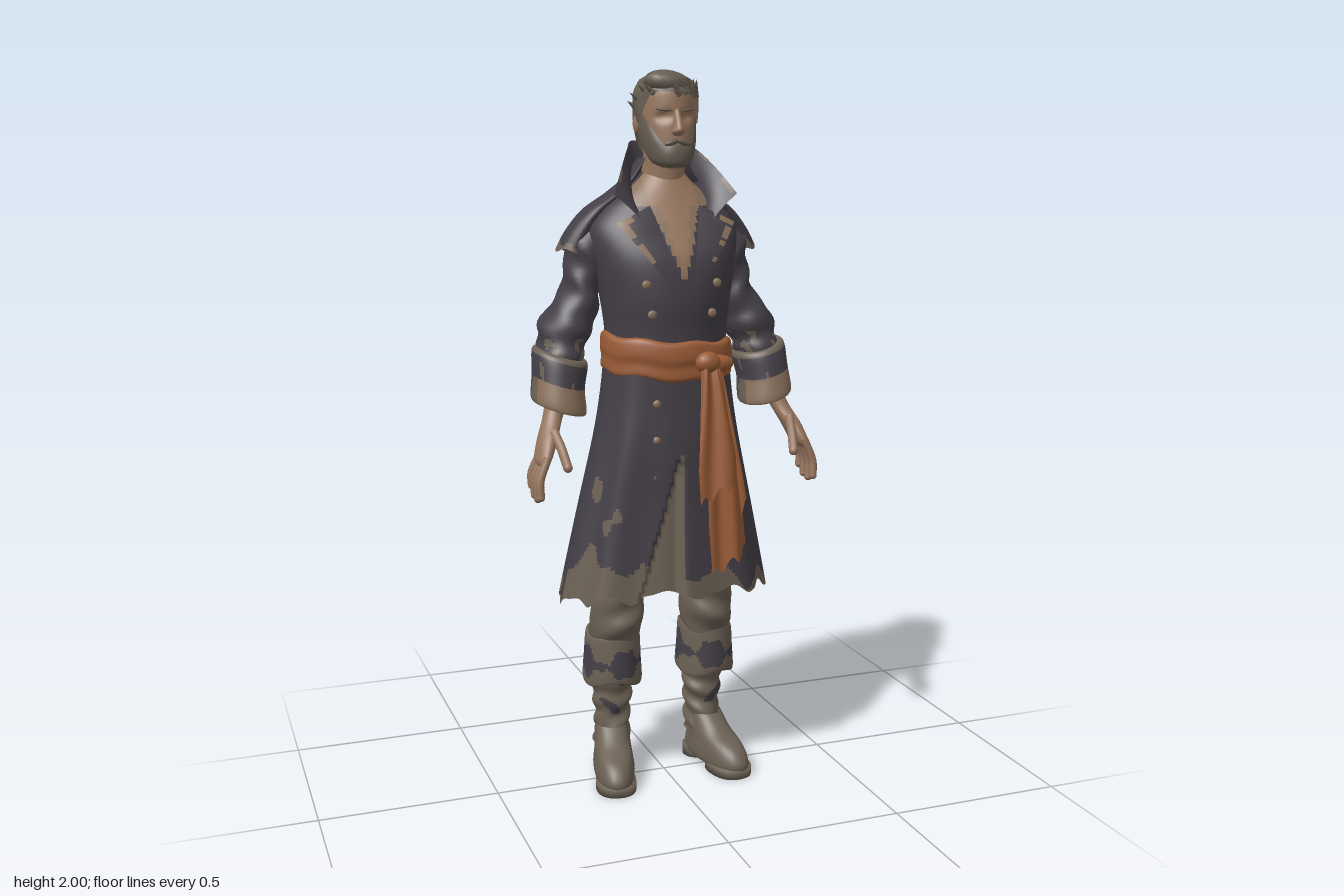
import * as THREE from 'three';

const { lerp, smoothstep } = THREE.MathUtils;
const mat = (name, color) => {
  const m = new THREE.MeshStandardMaterial({ color, side: THREE.DoubleSide });
  m.name = name;
  return m;
};

// Smooth blend of cross-section rows [x, y, z, radiusX, radiusZ]
function rowAt(rows, t) {
  const n = rows.length - 1, s = Math.min(t * n, n - 1e-6), i = Math.floor(s), k = s - i;
  const a = rows[Math.max(i - 1, 0)], b = rows[i], c = rows[i + 1], d = rows[Math.min(i + 2, n)];
  return b.map((_, j) => {
    const v0 = (c[j] - a[j]) / 2, v1 = (d[j] - b[j]) / 2;
    return b[j] + v0 * k + (3 * (c[j] - b[j]) - 2 * v0 - v1) * k * k + (2 * (b[j] - c[j]) + v0 + v1) * k ** 3;
  });
}
// Row at a height, for rows listed from bottom to top
function rowAtY(rows, y) {
  let lo = 0, hi = 1;
  for (let i = 0; i < 24; i++) {
    const m = (lo + hi) / 2;
    if (rowAt(rows, m)[1] < y) lo = m; else hi = m;
  }
  return rowAt(rows, lo);
}
const bend = (v, p) => Math.sign(v) * Math.abs(v) ** p;
const ring = (r, a, p = 1, off = 0) => [
  r[0] + Math.max(r[3] + off, 0.001) * bend(Math.sin(a), p), r[1],
  r[2] + Math.max(r[4] + off, 0.001) * bend(Math.cos(a), p)];
// Blotchy pattern round a ring
const noise = (a, y) => Math.sin(a * 5 + y * 23) + 0.7 * Math.sin(a * 9 - y * 31 + 2) + 0.4 * Math.sin(a * 17 + y * 47);

export function createModel() {
  const coat = mat('coat cloth', 0x443f47), worn = mat('worn leather', 0x6b6054), skin = mat('skin', 0x96765e);
  const sashMat = mat('sash cloth', 0x985a35), trim = mat('trim', 0x89705b), hairMat = mat('hair', 0x655b50);
  const root = new THREE.Group();
  root.name = 'coatedMan';

  const add = (name, geo, m, pos = [0, 0, 0], scale = [1, 1, 1]) => {
    const mesh = new THREE.Mesh(geo, m);
    mesh.name = name;
    mesh.position.set(...pos);
    mesh.scale.set(...scale);
    root.add(mesh);
    return mesh;
  };
  const ball = (name, m, pos, scale) => add(name, new THREE.SphereGeometry(1, 16, 12), m, pos, scale);

  // Grid surface; paint picks a material index for each cell
  function surface(name, f, nu, nv, mats, paint = () => 0, closed = false) {
    const pos = [], w = closed ? nu : nu + 1, buckets = mats.map(() => []);
    for (let j = 0; j <= nv; j++) for (let i = 0; i < w; i++) pos.push(...f(i / nu, j / nv));
    for (let j = 0; j < nv; j++) for (let i = 0; i < nu; i++) {
      const a = j * w + i, b = j * w + (i + 1) % w, c = a + w, d = b + w, u = (i + 0.5) / nu, v = (j + 0.5) / nv;
      buckets[paint(u, v, f(u, v))].push(a, b, d, a, d, c);
    }
    const g = new THREE.BufferGeometry();
    g.setAttribute('position', new THREE.Float32BufferAttribute(pos, 3));
    g.setIndex(buckets.flat());
    let start = 0;
    buckets.forEach((b, k) => { if (b.length) g.addGroup(start, b.length, k); start += b.length; });
    g.computeVertexNormals();
    return add(name, g, mats);
  }
  function loft(name, rows, mats, { nu = 32, nv = rows.length * 4, p = 1, mod = q => q, paint, s = 1 } = {}) {
    const f = (u, v) => {
      const a = u * Math.PI * 2, q = mod(ring(rowAt(rows, v), a, p), a, v);
      return [q[0] * s, q[1], q[2]];
    };
    return surface(name, f, nu, nv, mats, paint && ((u, v, q) => paint(u * Math.PI * 2, v, q)), true);
  }

  // Torso with the open shirt at the neck
  const torso = [[0, 1.18, 0.02, 0.172, 0.13], [0, 1.3, 0.015, 0.172, 0.14], [0, 1.4, 0.01, 0.184, 0.155], [0, 1.5, 0, 0.203, 0.155],
    [0, 1.58, -0.018, 0.212, 0.137], [0, 1.64, -0.022, 0.17, 0.11], [0, 1.7, -0.02, 0.09, 0.08], [0, 1.74, -0.01, 0.05, 0.05]];
  loft('coatBody', torso, [coat, skin, trim], { nu: 128, nv: 64, paint: (a, v, [x, y, z]) => {
    const half = y > 1.64 ? 0.11 : (y - 1.445) * 0.36;
    return z > 0 && Math.abs(x) < half ? (Math.abs(x) < half * 0.62 ? 1 : 2) : 0;
  } });
  const chestZ = (x, y) => {
    const r = rowAtY(torso, y);
    return r[2] + r[4] * Math.sqrt(Math.max(1 - (x / r[3]) ** 2, 0));
  };

  // Shoulder cape, open at the throat and blended into the back
  loft('shoulderCape', [[0, 1.77, -0.015, 0.065, 0.062], [0, 1.72, -0.03, 0.098, 0.078], [0, 1.675, -0.04, 0.15, 0.098],
    [0, 1.63, -0.048, 0.215, 0.107], [0, 1.575, -0.054, 0.262, 0.105], [0, 1.525, -0.056, 0.29, 0.104]], [coat, worn], { nu: 96, nv: 36, p: 0.85,
    mod: ([x, y, z], a, v) => {
      const c = Math.cos(a);
      return [x, y + v ** 3 * (0.006 * Math.sin(a * 9) - 0.025 * c * c),
        z - 0.07 * smoothstep(c, 0.45, 0.9) + 0.03 * smoothstep(-c, 0.35, 0.85) * smoothstep(v, 0.75, 1)];
    },
    paint: (a, v) => v > 0.93 + 0.03 * noise(a, 0) && Math.cos(a) > -0.5 ? 1 : 0 });

  // Skirt of the coat, with folds, a front opening and a ragged worn hem
  const inSlit = ([x, y, z]) => z > 0 && x < 0 && y < 1 && x > -0.13 * (1 - (y - 0.55) / 0.45);
  loft('coatSkirt', [[0, 1.24, 0.02, 0.172, 0.135], [0, 1.12, 0.015, 0.185, 0.143], [0, 1, 0.01, 0.205, 0.153],
    [0, 0.8, -0.004, 0.25, 0.167], [0, 0.57, -0.02, 0.3, 0.193]], [coat, worn], { nu: 220, nv: 84, p: 0.82,
    mod: ([x, y, z], a, v) => {
      const k = 1 + 0.03 * v * Math.cos(a * 9 + 0.5);
      const drop = v ** 4 * (0.02 - 0.03 * Math.cos(a) + 0.012 * Math.sin(a * 11) + 0.004 * Math.sin(a * 23));
      const q = [x * k, y - drop, -0.02 + (z + 0.02) * k - 0.025 * v * v * Math.exp(-8 * (a - Math.PI) ** 2)];
      if (inSlit(q)) q[2] -= 0.025;
      return q;
    },
    paint: (a, v, q) => {
      const y = q[1], off = a - Math.PI;
      const streak = (Math.abs(off - 0.28) < 0.05 + 0.025 * Math.sin(y * 40) && y > 0.76 && y < 0.93)
        || (Math.abs(off + 0.2) < 0.06 + 0.025 * Math.sin(y * 33) && y > 0.63 && y < 0.86);
      const patch = q[0] < -0.08 && q[2] > 0.05 && y < 0.92 && y > 0.75 && noise(a, y) > 1.25;
      const frontRight = q[0] < -0.1 && q[2] > 0 ? 0.07 : 0;
      return inSlit(q) || streak || patch || v > 0.945 - 0.028 * noise(a, 0.3) - frontRight ? 1 : 0;
    } });

  // Sash, knot and tails
  loft('sash', [[0, 1.185, 0.02, 0.17, 0.132], [0, 1.195, 0.02, 0.185, 0.147], [0, 1.225, 0.02, 0.184, 0.146], [0, 1.25, 0.02, 0.187, 0.151],
    [0, 1.285, 0.018, 0.183, 0.148], [0, 1.295, 0.018, 0.168, 0.136]], [sashMat], { nu: 64, nv: 30,
    mod: ([x, y, z], a) => [x, y - 0.06 * x - 0.01 * Math.cos(a) + 0.004 * Math.sin(a * 7), z] });
  ball('sashKnot', sashMat, [0.065, 1.228, 0.17], [0.036, 0.03, 0.026]);
  ball('sashKnotFold', sashMat, [0.1, 1.222, 0.155], [0.045, 0.024, 0.024]);
  const tail = (name, top, end, w0, w1, folds) => surface(name, (u, v) => {
    const w = lerp(w0, w1, Math.min(v * 1.3, 1)), c = u - 0.5;
    return [lerp(top[0], end[0], v) + c * w, lerp(top[1], end[1], v) + v * v * (0.07 * c + 0.014 * Math.sin(u * 15)),
      lerp(top[2], end[2], v ** 0.7) + 0.009 * Math.sin(u * folds + v * 2) - 0.05 * c * c];
  }, 28, 20, [sashMat]);
  tail('longSashTail', [0.08, 1.22, 0.175], [0.125, 0.67, 0.2], 0.045, 0.105, 9);
  tail('shortSashTail', [0.065, 1.22, 0.185], [0.08, 0.88, 0.23], 0.045, 0.11, 8);
  tail('sideSashTail', [0.09, 1.22, 0.17], [0.148, 0.8, 0.185], 0.04, 0.06, 6);

  // Stand-up collar between a neck line and a flared edge
  const mirrored = pts => new THREE.CatmullRomCurve3(
    [...pts.slice(1).reverse().map(([x, y, z]) => [-x, y, z]), ...pts].map(q => new THREE.Vector3(...q)));
  const low = mirrored([[0, 1.755, -0.083], [0.055, 1.745, -0.068], [0.085, 1.71, -0.02], [0.1, 1.655, 0.045], [0.085, 1.59, 0.11]]);
  const high = mirrored([[0, 1.812, -0.1], [0.065, 1.815, -0.08], [0.1, 1.792, -0.015], [0.14, 1.735, 0.05], [0.175, 1.675, 0.1]]);
  surface('collar', (u, v) => {
    const a = low.getPoint(u), b = high.getPoint(u), k = -0.018 * Math.sin(v * Math.PI);
    return [lerp(a.x, b.x, v) * (1 + 2 * k), lerp(a.y, b.y, v), lerp(a.z, b.z, v)];
  }, 64, 10, [coat, worn], (u, v) => v > 0.9 && noise(u * 6, 1) > 0.3 && Math.abs(u - 0.5) > 0.15 ? 1 : 0);

  for (const s of [-1, 1]) {
    const side = s > 0 ? 'left' : 'right';
    // Lapel folded back over the chest, with trimmed edge
    surface(side + 'Lapel', (u, v) => {
      const x = lerp(lerp(0.003, 0.07, v), lerp(0.01, 0.168, v), u), y = lerp(1.39, lerp(1.645, 1.6, u), v);
      return [s * x, y, chestZ(x, y) + 0.01 + 0.035 * u * v * v];
    }, 24, 36, [coat, trim], (u, v) => (u > 0.8 && v > 0.5 && noise(v * 4, s) > -0.5) || (v > 0.95 && u > 0.6) ? 1 : 0);
    // Buttons
    for (const [x, y] of [[0.1, 1.44], [0.085, 1.36]])
      ball(side + 'Button', trim, [s * x, y, chestZ(x, y) + 0.003], [0.013, 0.012, 0.006]);

    // Sleeve
    loft(side + 'Sleeve', [[0.19, 1.61, -0.06, 0.03, 0.04], [0.2, 1.55, -0.06, 0.06, 0.076], [0.212, 1.47, -0.06, 0.054, 0.076],
      [0.23, 1.4, -0.058, 0.057, 0.076], [0.264, 1.33, -0.052, 0.077, 0.085], [0.283, 1.27, -0.042, 0.066, 0.078],
      [0.295, 1.22, -0.025, 0.062, 0.072], [0.305, 1.13, 0, 0.045, 0.055]], [coat, worn], { s, nu: 48, nv: 42,
      mod: ([x, y, z], a, v) => [x + 0.004 * Math.sin(v * 40 + a * 2), y, z + 0.004 * Math.sin(v * 34 + a * 3)],
      paint: (a, v, [, y]) => y < 1.29 && Math.cos(a) > -0.2 && noise(a, v) > 0.6 ? 1 : 0 });
    // Turned-back cuff, worn along its edges and lighter in front
    loft(side + 'Cuff', [[0.29, 1.245, -0.03, 0.055, 0.065], [0.293, 1.237, -0.026, 0.075, 0.086], [0.303, 1.17, -0.01, 0.071, 0.086],
      [0.306, 1.108, 0.002, 0.075, 0.086], [0.307, 1.103, 0.005, 0.06, 0.07], [0.305, 1.13, 0.002, 0.03, 0.035]], [coat, worn, trim], { s, nu: 64, nv: 40,
      mod: ([x, y, z]) => [x, y + 0.28 * (x - 0.3) - 0.1 * z, z],
      paint: (a, v) => {
        if (v > 0.8) return 0;
        if (v > 0.39 && Math.cos(a) > 0.05 + 0.08 * noise(v * 2, 0)) return Math.cos(a) > 0.35 ? 2 : 1;
        return v < 0.215 || v > 0.55 || noise(a, v * 0.3) > 1.4 ? 1 : 0;
      } });
    // Hand
    loft(side + 'Hand', [[0.308, 1.15, 0.01, 0.032, 0.036], [0.335, 1.08, 0.04, 0.027, 0.032], [0.358, 1.03, 0.07, 0.026, 0.043],
      [0.377, 0.98, 0.09, 0.021, 0.048], [0.384, 0.96, 0.093, 0.006, 0.03]], [skin], { s, nu: 24 });
    const finger = (name, pts, r) => {
      const c = new THREE.CatmullRomCurve3(pts.map(([x, y, z]) => new THREE.Vector3(s * x, y, z)));
      add(name, new THREE.TubeGeometry(c, 10, r, 10), skin);
      ball(name + 'Tip', skin, c.getPoint(1).toArray(), [r, r, r]);
    };
    for (let i = 0; i < 4; i++) {
      const z = 0.054 + i * 0.026, len = [0.07, 0.09, 0.095, 0.085][i];
      finger(side + 'Finger', [[0.374, 0.99, z], [0.398, 0.97 - len * 0.5, z + (i - 1.5) * 0.004], [0.398, 0.97 - len, z + (i - 1) * 0.005]], 0.011);
    }
    finger(side + 'Thumb', [[0.345, 1.05, 0.09], [0.336, 1.01, 0.13], [0.328, 0.965, 0.16]], 0.013);

    // Trouser leg
    loft(side + 'TrouserLeg', [[0.1, 0.9, -0.01, 0.08, 0.09], [0.128, 0.62, -0.015, 0.078, 0.09], [0.134, 0.54, -0.02, 0.074, 0.088],
      [0.137, 0.47, -0.022, 0.074, 0.09], [0.14, 0.4, -0.04, 0.064, 0.078]], [worn], { s, nv: 36,
      mod: ([x, y, z], a) => [x, y, z + 0.005 * Math.sin(y * 70 + a * 2)] });
    // Boot cuff with a blotchy dark band
    loft(side + 'BootCuff', [[0.141, 0.42, -0.04, 0.06, 0.07], [0.142, 0.428, -0.042, 0.076, 0.086], [0.143, 0.36, -0.044, 0.081, 0.092],
      [0.143, 0.295, -0.046, 0.085, 0.094], [0.143, 0.29, -0.05, 0.075, 0.085], [0.143, 0.31, -0.055, 0.052, 0.058]], [worn, coat], { s, nu: 64, nv: 48,
      mod: ([x, y, z], a) => [x, y + 0.008 * Math.sin(a * 3 + 1), z],
      paint: (a, v) => Math.abs(v - 0.42 - 0.03 * Math.sin(a * 2 + 1)) < 0.07 + 0.05 * Math.sin(a * 4 + 2) + 0.02 * Math.sin(a * 11) ? 1 : 0 });
    // Boot shaft with wrinkles
    loft(side + 'BootShaft', [[0.142, 0.32, -0.055, 0.058, 0.062], [0.141, 0.24, -0.058, 0.056, 0.058], [0.14, 0.17, -0.06, 0.05, 0.056],
      [0.142, 0.09, -0.055, 0.052, 0.062]], [worn, coat], { s, nu: 48, nv: 40,
      mod: ([x, y, z], a) => [x + 0.004 * Math.sin(y * 110 + a * 2), y, z + 0.004 * Math.sin(y * 95 + a)],
      paint: (a, v) => v < 0.6 && Math.sin(a * 2 + 1) + Math.sin(v * 14 + a * 3) > 1.35 ? 1 : 0 });
    // Foot, sole and heel, turned outwards
    const turn = ([x, y, z]) => [0.143 + x + (z + 0.06) * 0.22, y, z - x * 0.22];
    loft(side + 'Foot', [[0, 0.018, 0.015, 0.03, 0.08], [0, 0.02, 0.017, 0.052, 0.128], [0, 0.045, 0.016, 0.057, 0.133], [0, 0.08, 0.004, 0.053, 0.115],
      [0, 0.11, -0.03, 0.05, 0.084], [0, 0.15, -0.055, 0.046, 0.06]], [worn], { s, p: 0.9, mod: turn });
    const slab = (name, z, rx, rz, h) => loft(name, [[0, 0, z, 0, 0], [0, 0, z, rx, rz], [0, h, z, rx, rz], [0, h, z, 0, 0]], [worn],
      { s, p: 0.85, nv: 3, mod: turn });
    slab(side + 'Sole', 0.076, 0.056, 0.074, 0.026);
    slab(side + 'Heel', -0.077, 0.047, 0.04, 0.034);
  }
  // Lower row of buttons down the skirt
  for (const y of [1.12, 1.02]) ball('skirtButton', trim, [-0.075, y, 0.153], [0.011, 0.011, 0.008]);

  // Neck and head
  loft('neck', [[0, 1.6, -0.02, 0.066, 0.08], [0, 1.7, -0.012, 0.06, 0.066], [0, 1.8, 0.005, 0.055, 0.06]], [skin]);
  const head = [[0, 1.742, 0.07, 0.012, 0.015], [0, 1.755, 0.058, 0.046, 0.048], [0, 1.8, 0.03, 0.066, 0.08], [0, 1.85, 0.018, 0.075, 0.09],
    [0, 1.9, 0.012, 0.078, 0.094], [0, 1.95, 0.01, 0.073, 0.088], [0, 1.982, 0.01, 0.04, 0.05], [0, 1.988, 0.01, 0.004, 0.004]];
  loft('head', head, [skin], { nu: 64, nv: 56, mod: ([x, y, z], a) => {
    const socket = Math.exp(-(((Math.abs(x) - 0.032) / 0.02) ** 2) - ((y - 1.877) / 0.014) ** 2);
    return [x, y, z - (Math.cos(a) > 0 ? 0.014 * socket : 0)];
  } });
  loft('nose', [[0, 1.826, 0.108, 0.008, 0.006], [0, 1.836, 0.113, 0.018, 0.02], [0, 1.85, 0.112, 0.013, 0.022], [0, 1.885, 0.1, 0.009, 0.014],
    [0, 1.9, 0.096, 0.006, 0.008]], [skin], { nu: 16 });
  for (const s of [-1, 1]) {
    ball('ear', skin, [s * 0.079, 1.86, 0.005], [0.01, 0.026, 0.017]);
    ball('eyebrow', hairMat, [s * 0.034, 1.894, 0.097], [0.022, 0.004, 0.008]).rotation.set(0, s * 0.4, s * 0.1);
    ball('moustache', hairMat, [s * 0.016, 1.81, 0.108], [0.022, 0.008, 0.009]).rotation.z = -s * 0.3;
  }
  // Beard following the jaw
  surface('beard', (u, v) => {
    const a = lerp(-1.55, 1.55, u), top = lerp(1.802, 1.885, smoothstep(Math.abs(a), 0.4, 1.4));
    return ring(rowAtY(head, lerp(1.744, top, v)), a, 1, 0.007 * (1 - v ** 4));
  }, 40, 12, [hairMat]);

  // Hair cap with a swept quiff and tufts
  const hairPoint = (a, v) => {
    const c = Math.cos(a);
    const hem = c > 0 ? lerp(1.86, 1.94, smoothstep(c, 0.2, 0.75)) : lerp(1.86, 1.775, smoothstep(-c, 0, 0.6));
    const y = lerp(hem, 1.962, Math.min(v / 0.7, 1)), k = Math.max(v - 0.7, 0) / 0.3 * Math.PI / 2;
    const r = rowAtY(head, y), q = ring(r, a, 1, 0.009 + 0.002 * Math.sin(a * 9 + v * 6));
    return [q[0] * Math.cos(k), y + 0.03 * Math.sin(k), r[2] + (q[2] - r[2]) * Math.cos(k)];
  };
  surface('hair', (u, v) => hairPoint(u * Math.PI * 2, v), 64, 24, [hairMat], undefined, true);
  ball('quiff', hairMat, [-0.012, 1.964, 0.06], [0.066, 0.034, 0.05]).rotation.z = -0.12;
  for (let i = 0; i < 11; i++) {
    const a = -1.7 + i * 0.27, q = hairPoint(a, 0.35 + 0.3 * ((i * 0.37) % 1));
    const tuft = add('hairTuft', new THREE.ConeGeometry(0.014, 0.05, 8), hairMat, q);
    tuft.quaternion.setFromUnitVectors(new THREE.Vector3(0, 1, 0), new THREE.Vector3(q[0] * 5 - 0.35, 0.45, 0.25).normalize());
  }
  return root;
}
